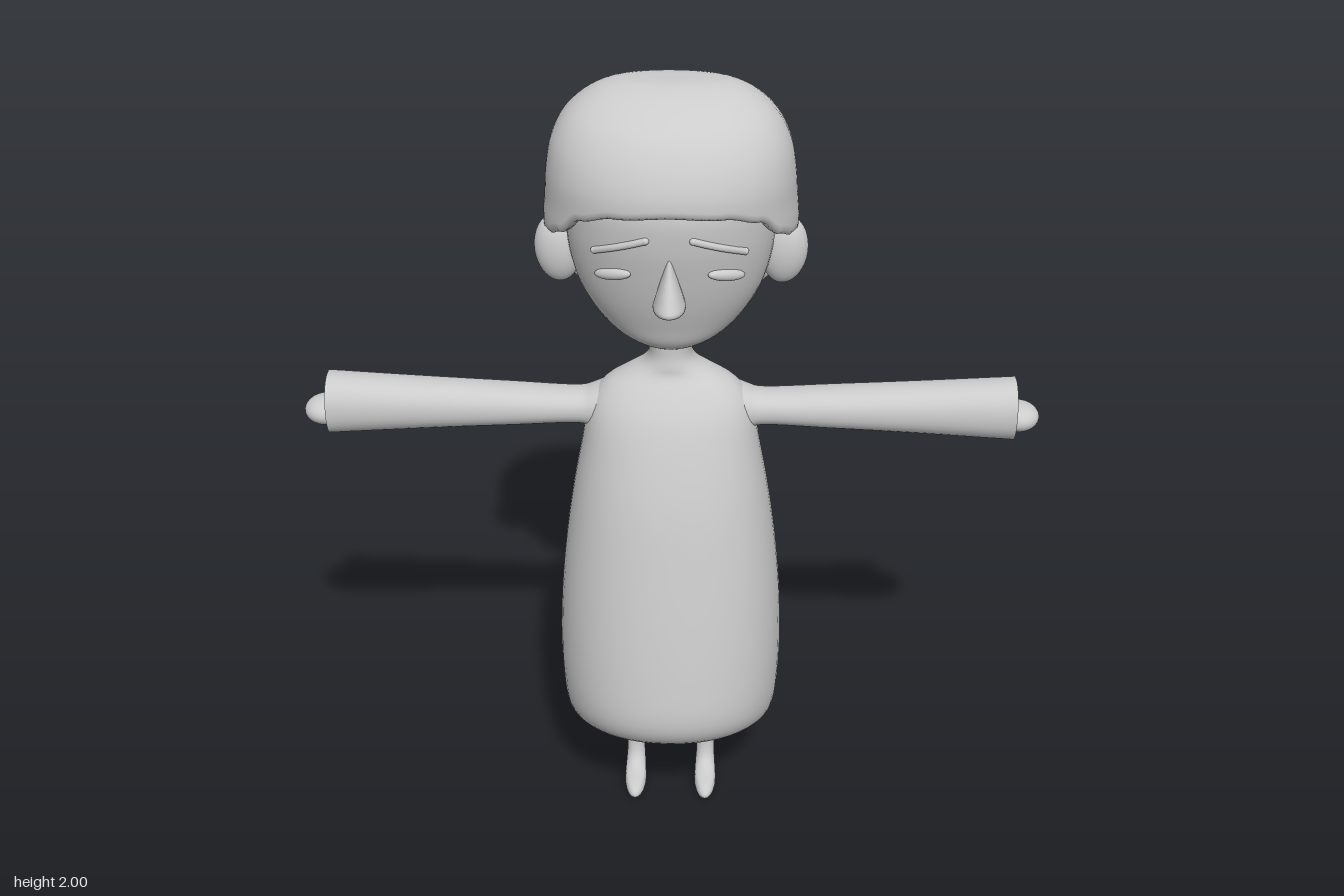
import * as THREE from 'three';

const mat = new THREE.MeshStandardMaterial({ color: 0xcccccc, side: THREE.DoubleSide });

// Smooth (Catmull-Rom) sample of a table of rows at t in 0..1
function sample(rows, t) {
  const n = rows.length - 1, f = Math.min(Math.max(t, 0), 1) * n;
  const i = Math.min(Math.floor(f), n - 1), u = f - i;
  const [a, b, c, d] = [rows[Math.max(i - 1, 0)], rows[i], rows[i + 1], rows[Math.min(i + 2, n)]];
  return b.map((p, k) => p + 0.5 * u * (c[k] - a[k] +
    u * (2 * a[k] - 5 * p + 4 * c[k] - d[k] + u * (3 * (p - c[k]) + d[k] - a[k]))));
}

// Closed-around surface from point(angle, v); angle 0 faces +z, v runs upward
function surface(point, around = 48, up = 40) {
  const pos = [], idx = [];
  for (let j = 0; j <= up; j++) {
    for (let i = 0; i < around; i++) pos.push(...point((i / around) * Math.PI * 2, j / up));
  }
  for (let j = 0; j < up; j++) {
    for (let i = 0; i < around; i++) {
      const a = j * around + i, b = j * around + (i + 1) % around;
      idx.push(a, b, a + around, b, b + around, a + around);
    }
  }
  const g = new THREE.BufferGeometry();
  g.setAttribute('position', new THREE.Float32BufferAttribute(pos, 3));
  g.setIndex(idx);
  g.computeVertexNormals();
  return g;
}

// Point on an oval ring [y, halfWidth, zFront, zBack]
function ring([y, hx, zf, zb], a, power = 2) {
  const sp = (c) => Math.sign(c) * Math.abs(c) ** (2 / power);
  return [hx * sp(Math.sin(a)), y, (zf + zb) / 2 + ((zf - zb) / 2) * sp(Math.cos(a))];
}

const loft = (rows, around, up, power) =>
  surface((a, v) => ring(sample(rows, v), a, power), around, up);

// t at which a table (rising in y) reaches height y
function findT(rows, y) {
  let lo = 0, hi = 1;
  for (let k = 0; k < 24; k++) {
    const m = (lo + hi) / 2;
    if (sample(rows, m)[0] < y) lo = m; else hi = m;
  }
  return lo;
}

// Profiles: [y, halfWidth, zFront, zBack]
const DRESS = [
  [0.28, 0.2, 0.12, 0.03], [0.225, 0.215, 0.12, 0.03], [0.213, 0.23, 0.14, 0.01],
  [0.227, 0.252, 0.2, -0.055], [0.26, 0.27, 0.27, -0.125], [0.31, 0.281, 0.34, -0.19],
  [0.38, 0.287, 0.37, -0.221], [0.5, 0.29, 0.36, -0.212], [0.65, 0.283, 0.337, -0.19],
  [0.8, 0.268, 0.31, -0.165], [0.95, 0.246, 0.28, -0.132], [1.08, 0.222, 0.243, -0.09],
  [1.18, 0.204, 0.205, -0.05], [1.24, 0.165, 0.168, -0.015], [1.275, 0.11, 0.142, 0.005],
  [1.3, 0.068, 0.137, 0.01], [1.335, 0.053, 0.132, 0.015], [1.4, 0.065, 0.135, 0.01],
];
const FACE = [
  [1.345, 0, 0.07, 0.07], [1.352, 0.06, 0.13, 0.01], [1.38, 0.12, 0.165, -0.03],
  [1.43, 0.172, 0.185, -0.06], [1.5, 0.215, 0.21, -0.09], [1.58, 0.24, 0.232, -0.11],
  [1.67, 0.25, 0.25, -0.12], [1.76, 0.245, 0.25, -0.12], [1.85, 0.2, 0.2, -0.1],
];
const HAIR = [
  [1.38, 0.12, 0.08, -0.06], [1.42, 0.175, 0.13, -0.12], [1.48, 0.24, 0.2, -0.188],
  [1.56, 0.285, 0.25, -0.225], [1.65, 0.305, 0.27, -0.235], [1.73, 0.3, 0.278, -0.222],
  [1.8, 0.294, 0.276, -0.2], [1.87, 0.28, 0.25, -0.172], [1.93, 0.247, 0.205, -0.137],
  [1.975, 0.19, 0.135, -0.09], [1.997, 0.12, 0.07, -0.04], [2, 0, 0.015, 0.015],
];
// Hairline height by angle from the front, in degrees
const HAIRLINE = [[0, 1.765], [25, 1.755], [45, 1.73], [58, 1.68], [72, 1.655], [84, 1.645],
  [92, 1.55], [102, 1.46], [125, 1.425], [180, 1.44]];
const SLEEVE = [
  [0.13, 0.085, 0.145, -0.005], [0.19, 0.055, 0.132, 0.01], [0.24, 0.044, 0.126, 0.014],
  [0.4, 0.052, 0.131, 0.009], [0.62, 0.064, 0.136, 0.004], [0.853, 0.079, 0.142, 0],
];
const CUFF = [[0.853, 0.079, 0.142, 0], [0.85, 0.04, 0.106, 0.035], [0.85, 0, 0.07, 0.07]];
const LEG = [
  [0.005, 0, 0.13, 0.12], [0.006, 0.022, 0.19, 0.06], [0.025, 0.029, 0.216, 0.053],
  [0.045, 0.028, 0.195, 0.053], [0.062, 0.026, 0.13, 0.054], [0.1, 0.024, 0.103, 0.056],
  [0.18, 0.026, 0.1, 0.05], [0.3, 0.028, 0.103, 0.045],
];
const NOSE = [
  [1.503, 0, 0.235, 0.225], [1.506, 0.03, 0.275, 0.17], [1.52, 0.039, 0.306, 0.17],
  [1.545, 0.033, 0.297, 0.18], [1.6, 0.016, 0.265, 0.2], [1.645, 0.005, 0.243, 0.21],
];

// Hair shell: follows its profile down to the hairline, then tucks in against the head
function hairGeometry() {
  const lip = [[0.8, 0.025], [0.9, -0.004], [0.97, -0.01]], up = 43, rows = 3;
  return surface((a, v) => {
    const deg = THREE.MathUtils.radToDeg(Math.min(a, Math.PI * 2 - a));
    const k = Math.max(HAIRLINE.findIndex((h) => h[0] >= deg - 1e-6), 1);
    const [d0, y0] = HAIRLINE[k - 1], [d1, y1] = HAIRLINE[k];
    const edge = THREE.MathUtils.lerp(y0, y1, THREE.MathUtils.smoothstep(deg, d0, d1));
    const t0 = findT(HAIR, edge), j = Math.round(v * up);
    if (j >= rows) return ring(sample(HAIR, t0 + (1 - t0) * (j - rows) / (up - rows)), a, 2.1);
    const [x, y, z] = ring(sample(HAIR, t0), a, 2.1), [s, dy] = lip[j];
    return [x * s, y + dy, 0.03 + (z - 0.03) * s];
  }, 96, up);
}

// Depth of the face surface at x, y
function faceZ(x, y) {
  const [, hx, zf, zb] = sample(FACE, findT(FACE, y));
  return (zf + zb) / 2 + ((zf - zb) / 2) * Math.sqrt(Math.max(0, 1 - (x / hx) ** 2));
}

export function createModel() {
  const model = new THREE.Group();
  const add = (name, geo, parent = model) => {
    const m = new THREE.Mesh(geo, mat);
    m.name = name;
    parent.add(m);
    return m;
  };
  const ball = (name, scale, at) => {
    const m = add(name, new THREE.SphereGeometry(1, 32, 20));
    m.scale.set(...scale);
    m.position.set(...at);
    return m;
  };

  add('dressAndNeck', loft(DRESS, 56, 68, 2.15));
  add('face', loft(FACE, 56, 40));
  add('hair', hairGeometry());
  add('nose', loft(NOSE, 20, 20));

  // Bun: a squarish cushion tied to the back of the head
  const bun = add('bun', loft([
    [-0.06, 0, 0, 0], [-0.055, 0.085, 0.09, -0.09], [-0.02, 0.122, 0.134, -0.134],
    [0.03, 0.13, 0.144, -0.144], [0.068, 0.1, 0.115, -0.115], [0.082, 0, 0, 0],
  ], 40, 30, 2.4));
  bun.rotation.x = -Math.PI / 2 - 0.13;
  bun.position.set(0, 1.55, -0.283);
  const tie = add('bunTie', new THREE.CylinderGeometry(0.095, 0.1, 0.12, 32));
  tie.rotation.x = Math.PI / 2;
  tie.position.set(0, 1.55, -0.2);

  for (const s of [1, -1]) {
    const side = s > 0 ? 'left' : 'right';

    // Arm: sleeve, closed cuff and hand
    const arm = new THREE.Group();
    arm.name = side + 'Arm';
    arm.position.y = 1.167;
    arm.rotation.z = -s * Math.PI / 2;
    add('sleeve', loft(SLEEVE, 32, 30, 2.2), arm);
    add('cuff', loft(CUFF, 32, 6, 2.2), arm);
    model.add(arm);
    ball(side + 'Hand', [0.054, 0.036, 0.055], [s * 0.863, 1.145, 0.07]);

    // Leg with foot
    add(side + 'Leg', loft(LEG, 20, 32)).position.x = s * 0.095;

    // Ear
    ball(side + 'Ear', [0.056, 0.086, 0.041], [s * 0.273, 1.58, 0.042]).rotation.z = -s * 0.1;

    // Half-closed eye
    const eye = ball(side + 'Eye', [0.05, 0.015, 0.014], [s * 0.133, 1.588, faceZ(0.133, 1.588)]);
    eye.rotation.set(0, s * 0.5, -s * 0.2, 'YXZ');

    // Drooping eyebrow
    const brow = [[0.055, 1.69], [0.085, 1.679], [0.125, 1.664], [0.175, 1.643]].map(
      ([x, y]) => new THREE.Vector3(s * x, y, faceZ(x, y)));
    add(side + 'Eyebrow', new THREE.TubeGeometry(new THREE.CatmullRomCurve3(brow), 20, 0.009, 8));
    for (const end of [brow[0], brow[3]]) ball(side + 'EyebrowTip', [0.009, 0.009, 0.009], end.toArray());
  }
  return model;
}
